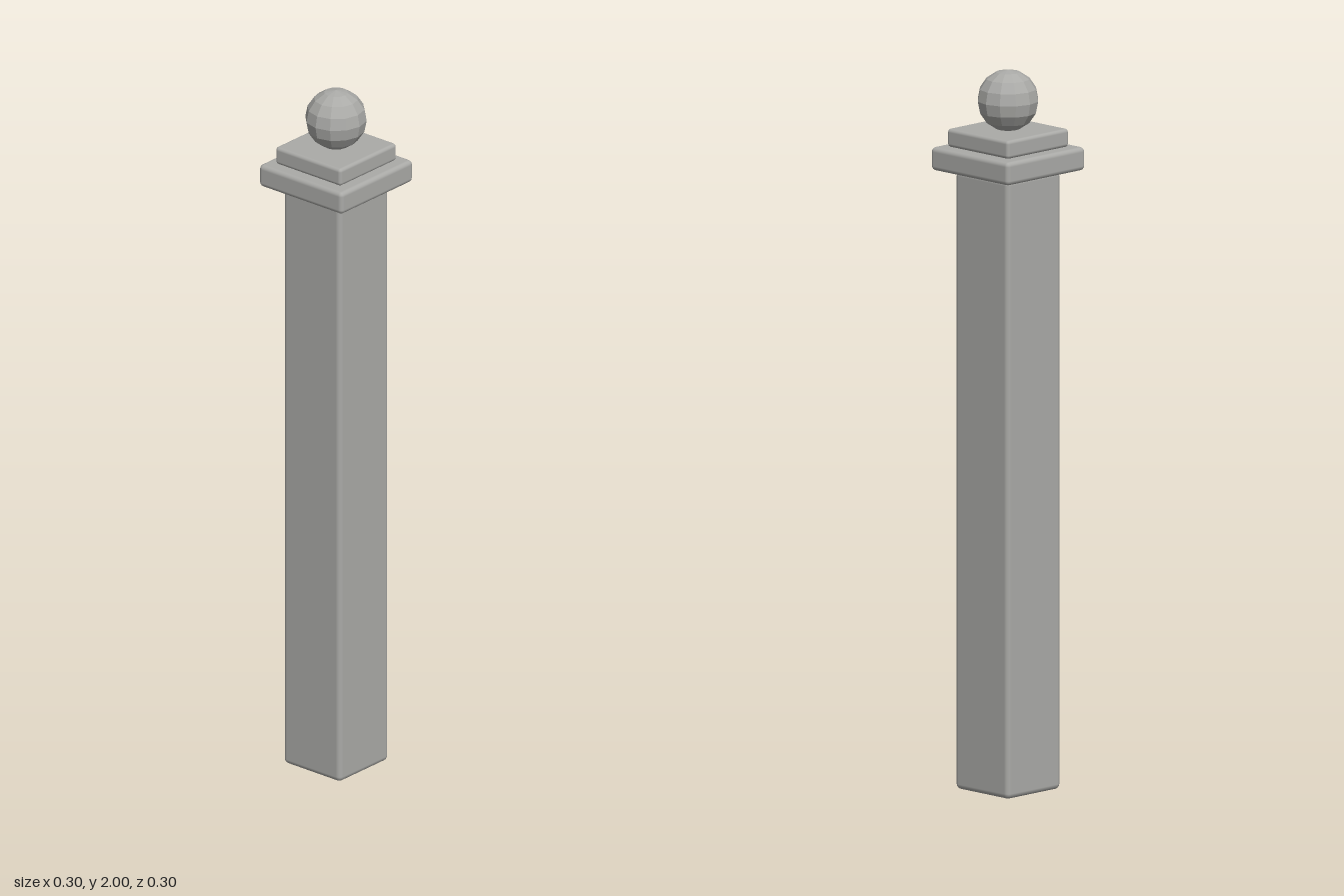
import * as THREE from 'three';
import { RoundedBoxGeometry } from 'three/addons/geometries/RoundedBoxGeometry.js';

export function createModel() {
  const group = new THREE.Group();
  const stone = new THREE.MeshStandardMaterial({ color: 0xaaaaa7 });
  stone.name = 'stone grey';

  const add = (name, geometry, y) => {
    const mesh = new THREE.Mesh(geometry, stone);
    mesh.name = name;
    mesh.position.y = y;
    group.add(mesh);
  };

  // Square blocks with softened edges: name, width, bottom, top, edge radius
  const blocks = [
    ['post', 0.206, 0, 1.72, 0.015],
    ['lowerCap', 0.3, 1.72, 1.785, 0.013],
    ['upperCap', 0.236, 1.785, 1.836, 0.01],
  ];
  for (const [name, width, bottom, top, radius] of blocks) {
    add(name, new RoundedBoxGeometry(width, top - bottom, width, 2, radius), (bottom + top) / 2);
  }

  // Faceted ball finial
  const ball = new THREE.SphereGeometry(0.085, 12, 8).toNonIndexed();
  ball.computeVertexNormals();
  add('ballFinial', ball, 1.915);

  return group;
}
